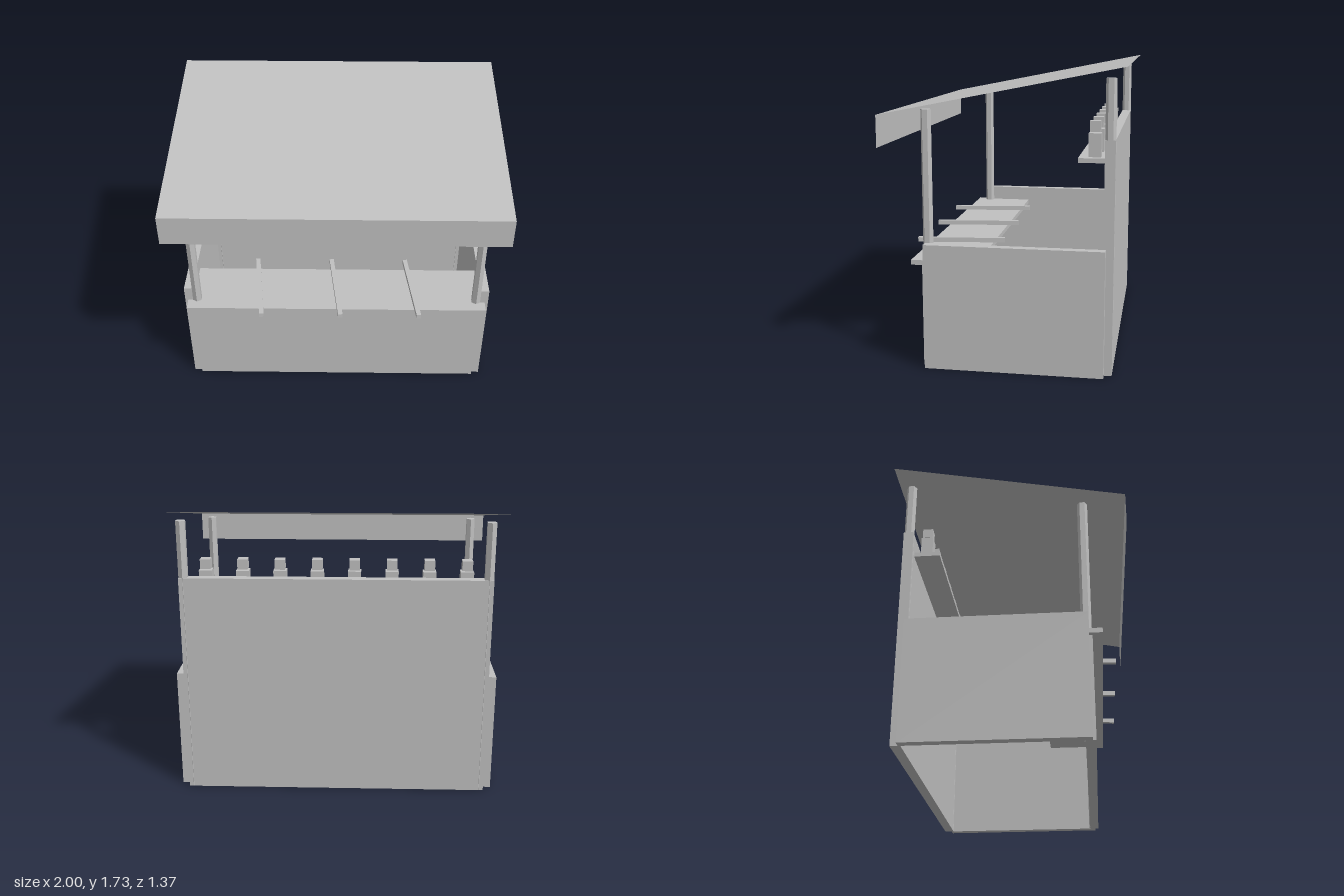
import * as THREE from 'three';

const grey = new THREE.MeshStandardMaterial({ color: 0xc0c0c0 });
grey.name = 'plain grey';
const greySheet = new THREE.MeshStandardMaterial({ color: 0xc0c0c0, side: THREE.DoubleSide });
greySheet.name = 'plain grey sheet';

// Box given by its lower and upper limits on each axis
function box(name, [x0, x1], [y0, y1], [z0, z1]) {
  const mesh = new THREE.Mesh(new THREE.BoxGeometry(x1 - x0, y1 - y0, z1 - z0), grey);
  mesh.position.set((x0 + x1) / 2, (y0 + y1) / 2, (z0 + z1) / 2);
  mesh.name = name;
  return mesh;
}

// Six-sided post standing on the ground
function post(name, x, z, height) {
  const geometry = new THREE.CylinderGeometry(0.03, 0.03, height, 6).toNonIndexed();
  geometry.computeVertexNormals();
  const mesh = new THREE.Mesh(geometry, grey);
  mesh.position.set(x, height / 2, z);
  mesh.name = name;
  return mesh;
}

// Thin sheet across the full width, from a front edge to a back edge
function sheet(name, [frontY, frontZ], [backY, backZ]) {
  const geometry = new THREE.PlaneGeometry(2, 1);
  const p = geometry.attributes.position;
  for (let i = 0; i < p.count; i++) {
    const back = p.getY(i) > 0;
    p.setY(i, back ? backY : frontY);
    p.setZ(i, back ? backZ : frontZ);
  }
  geometry.computeVertexNormals();
  const mesh = new THREE.Mesh(geometry, greySheet);
  mesh.name = name;
  return mesh;
}

export function createModel() {
  const stall = new THREE.Group();
  stall.name = 'shooting stall';

  // Walls, open at the bottom
  stall.add(box('frontWall', [-0.907, 0.907], [0, 0.61], [0.41, 0.466]));
  stall.add(box('backWall', [-0.907, 0.907], [0, 1.335], [-0.622, -0.564]));
  for (const [side, s] of [['left', 1], ['right', -1]]) {
    const xs = s > 0 ? [0.905, 0.957] : [-0.957, -0.905];
    stall.add(box(side + 'Wall', xs, [0, 0.73], [-0.578, 0.447]));
    stall.add(post(side + 'FrontPost', s * 0.881, 0.433, 1.487));
    stall.add(post(side + 'BackPost', s * 0.881, -0.593, 1.667));
  }

  // Counter and the three rifles lying on it
  stall.add(box('counter', [-0.938, 0.936], [0.608, 0.636], [0.14, 0.522]));
  for (const x of [-0.493, -0.005, 0.48]) {
    const rifle = box('rifle', [-0.014, 0.014], [0.638, 0.666], [-0.266, 0.266]);
    rifle.position.x = x;
    rifle.position.z = 0.335;
    rifle.rotation.y = 0.12;
    stall.add(rifle);
  }

  // Shelf with a row of targets
  stall.add(box('shelf', [-0.85, 0.846], [1.201, 1.227], [-0.564, -0.412]));
  for (let i = 0; i < 8; i++) {
    const x = (i - 3.5) * 0.218;
    const target = new THREE.Group();
    target.name = 'target';
    target.add(box('targetBody', [x - 0.038, x + 0.038], [1.227, 1.36], [-0.536, -0.466]));
    target.add(box('targetHead', [x - 0.03, x + 0.03], [1.367, 1.426], [-0.531, -0.471]));
    stall.add(target);
  }

  // Sloping roof sheet and its hanging front flap
  stall.add(sheet('roof', [1.462, 0.683], [1.732, -0.683]));
  stall.add(sheet('roofFlap', [1.28, 0.683], [1.462, 0.683]));
  return stall;
}
